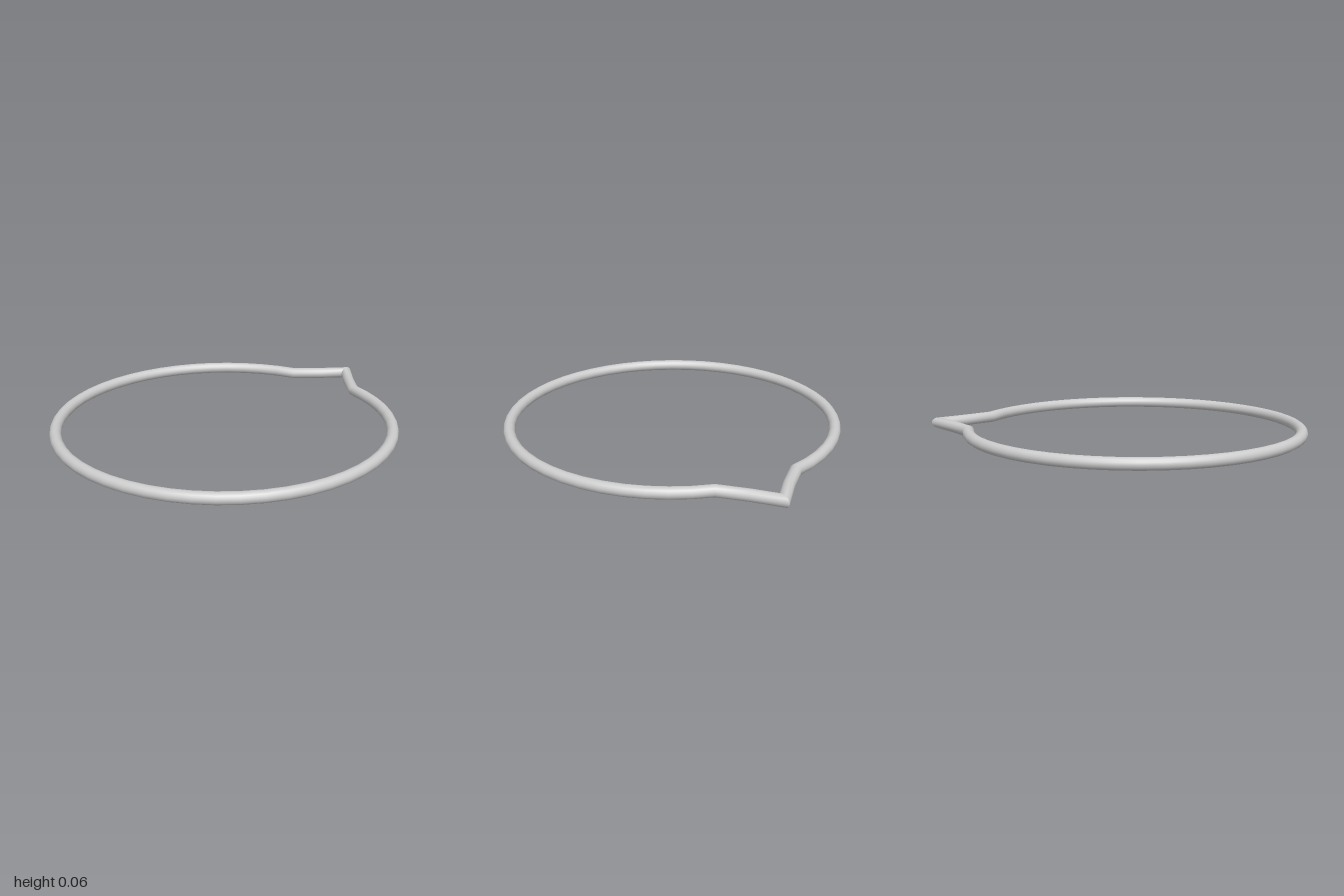
import * as THREE from 'three';
import { toCreasedNormals } from 'three/addons/utils/BufferGeometryUtils.js';

const RING = 0.865, TUBE = 0.03, CENTRE_Z = 0.105, SIDES = 16, ARC_STEPS = 48;

// Closed centreline: a large arc, then a pointed peak at the back
function centreline() {
  const points = [];
  const start = 0.257;
  for (let i = 0; i <= ARC_STEPS; i++) {
    const a = start + (i / ARC_STEPS) * (2 * Math.PI - 2 * start);
    points.push(new THREE.Vector2(RING * Math.sin(a), CENTRE_Z - RING * Math.cos(a)));
  }
  for (const [x, z] of [[-0.102, -0.845], [0, -0.957], [0.102, -0.845]]) {
    points.push(new THREE.Vector2(x, z));
  }
  return points;
}

// Round section swept along a flat closed path, mitred at each corner
function mitredTube(path) {
  const n = path.length, positions = [], index = [];
  path.forEach((p, i) => {
    const t0 = p.clone().sub(path[(i + n - 1) % n]).normalize();
    const t1 = path[(i + 1) % n].clone().sub(p).normalize();
    const t = t0.clone().add(t1).normalize();
    const width = TUBE / t.dot(t1);
    for (let j = 0; j < SIDES; j++) {
      const b = (j / SIDES) * Math.PI * 2;
      const w = width * Math.cos(b);
      positions.push(p.x + t.y * w, TUBE * (1 + Math.sin(b)), p.y - t.x * w);
      const j1 = (j + 1) % SIDES, k = ((i + 1) % n) * SIDES;
      const a = i * SIDES + j, c = i * SIDES + j1;
      index.push(a, c, k + j, c, k + j1, k + j);
    }
  });
  const geometry = new THREE.BufferGeometry();
  geometry.setAttribute('position', new THREE.Float32BufferAttribute(positions, 3));
  geometry.setIndex(index);
  return toCreasedNormals(geometry, 0.75);
}

export function createModel() {
  const group = new THREE.Group();
  group.name = 'pointedRing';
  const band = new THREE.Mesh(
    mitredTube(centreline()),
    new THREE.MeshStandardMaterial({ color: 0xcccccc })
  );
  band.name = 'band';
  group.add(band);
  return group;
}
